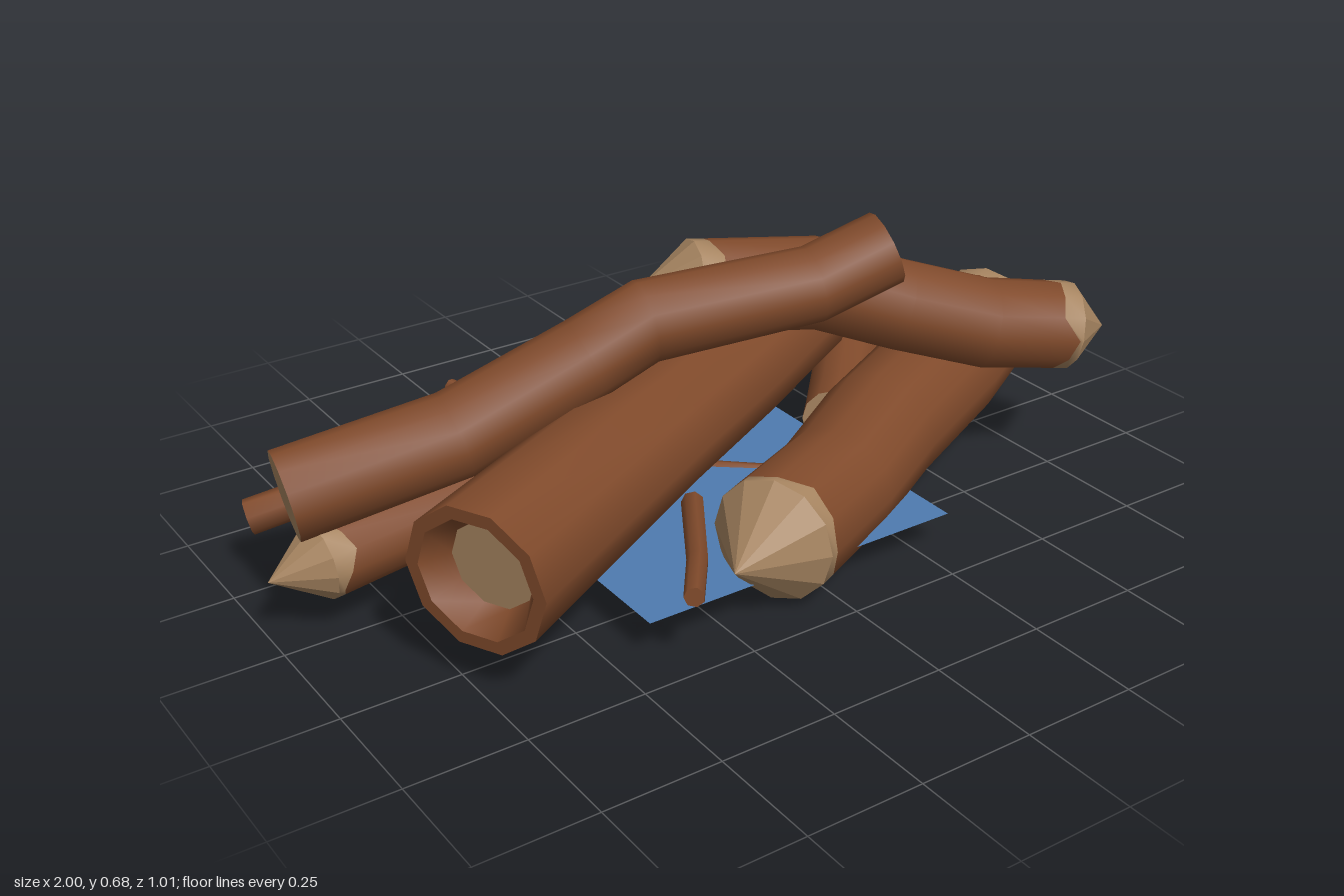
import * as THREE from 'three';

const bark = new THREE.MeshStandardMaterial({ color: 0x804a2b });
bark.name = 'bark';
const wood = new THREE.MeshStandardMaterial({ color: 0xa68460 });
wood.name = 'cutWood';
const cloth = new THREE.MeshStandardMaterial({ color: 0x4f7bb0, side: THREE.DoubleSide });
cloth.name = 'blueSheet';

let seed = 7;
const rand = () => (seed = (seed * 16807) % 2147483647) / 2147483647;
const UP = new THREE.Vector3(0, 1, 0);

// Cross-section frame at point i of a bent path
function frameAt(points, i) {
  const t = points[Math.min(i + 1, points.length - 1)].clone().sub(points[Math.max(i - 1, 0)]).normalize();
  const side = UP.clone().cross(t).normalize();
  return { c: points[i], t, side, n: t.clone().cross(side) };
}

// Ring of points; shift(k) slides each point along the axis
function ring(f, r, sides, shift = () => 0) {
  return Array.from({ length: sides }, (_, k) => {
    const a = (k / sides) * Math.PI * 2;
    return f.c.clone()
      .addScaledVector(f.side, Math.cos(a) * r)
      .addScaledVector(f.n, Math.sin(a) * r)
      .addScaledVector(f.t, shift(k));
  });
}

// Skin a row of rings, smooth or faceted
function skin(name, rings, material, flat = false) {
  const s = rings[0].length;
  const index = [];
  for (let i = 0; i < rings.length - 1; i++) {
    for (let k = 0; k < s; k++) {
      const a = i * s + k, b = i * s + ((k + 1) % s);
      index.push(a, b, b + s, a, b + s, a + s);
    }
  }
  let geo = new THREE.BufferGeometry().setFromPoints(rings.flat());
  geo.setIndex(index);
  if (flat) geo = geo.toNonIndexed();
  geo.computeVertexNormals();
  const mesh = new THREE.Mesh(geo, material);
  mesh.name = name;
  return mesh;
}

// A log along a path. Each end is a carved point, a recessed cut or a flat cut.
function makeLog(name, path, radii, { start = {}, end = {}, sides = 12 } = {}) {
  const g = new THREE.Group();
  g.name = name;
  const pts = path.map((p) => new THREE.Vector3(...p));
  const last = pts.length - 1;
  const rings = pts.map((_, i) => ring(frameAt(pts, i), radii[i], sides));

  [[0, -1, start], [last, 1, end]].forEach(([i, s, cut]) => {
    const f = frameAt(pts, i), r = radii[i], base = rings[i];
    const put = (part, list, mat, flat) => g.add(skin(part, s > 0 ? list : list.reverse(), mat, flat));
    const at = (rad, off) => ring(f, rad, sides, () => s * off);
    if (cut.point) {
      // Ragged bark edge, then the carved tip
      const jag = Array.from({ length: sides }, () => -0.005 - 0.05 * rand());
      rings[i] = ring(f, r, sides, (k) => s * jag[k]);
      put('raggedEdge', [rings[i], base], wood);
      put('carvedTip', [base, at(0, cut.point)], wood, true);
    } else if (cut.rim) {
      // Bark rim narrowing to a recessed cut face
      put('barkRim', [base, at(r * cut.rim, 0)], bark, true);
      put('innerBark', [at(r * cut.rim, 0), at(r * cut.core, -cut.depth)], bark);
      put('cutFace', [at(r * cut.core, -cut.depth), at(0, -cut.depth)], wood, true);
    } else {
      put('cutFace', [base, at(0, 0)], cut.mat || wood, true);
    }
  });
  g.add(skin('barkSide', rings, bark));
  return g;
}

export function createModel() {
  const model = new THREE.Group();
  model.name = 'logPile';

  // Sheet lying among the logs
  const sheet = new THREE.Mesh(new THREE.PlaneGeometry(0.74, 0.73), cloth);
  sheet.name = 'groundSheet';
  sheet.rotation.x = -Math.PI / 2;
  sheet.position.set(-0.06, 0.08, 0.045);
  model.add(sheet);

  // Large logs
  model.add(makeLog('frontLog',
    [[-0.11, 0.135, 0.365], [0.14, 0.13, 0.245], [0.33, 0.162, 0.15], [0.65, 0.162, -0.015], [0.89, 0.185, -0.135]],
    [0.133, 0.131, 0.135, 0.138, 0.13], { start: { point: 0.155 }, end: { point: 0.125 } }));
  model.add(makeLog('leaningLog',
    [[-0.02, 0.51, -0.06], [0.25, 0.48, 0.015], [0.42, 0.415, 0.09], [0.6, 0.355, 0.17], [0.785, 0.328, 0.237]],
    [0.1, 0.101, 0.1, 0.1, 0.098], { start: { point: 0.11 }, end: { point: 0.09 } }));
  model.add(makeLog('topLog',
    [[-0.935, 0.288, -0.085], [-0.6, 0.35, -0.02], [-0.33, 0.465, 0.035], [-0.21, 0.525, 0.065],
      [0.14, 0.55, 0.15], [0.295, 0.61, 0.195]],
    [0.093, 0.09, 0.085, 0.085, 0.08, 0.079],
    { end: { rim: 0.82, core: 0.8, depth: 0.004 } }));
  const hollow = { rim: 0.82, core: 0.6, depth: 0.06 };
  model.add(makeLog('hollowLog',
    [[-0.75, 0.242, 0.325], [-0.2, 0.268, 0.05], [0.1, 0.275, -0.1], [0.39, 0.32, -0.245]],
    [0.155, 0.142, 0.138, 0.15],
    { start: hollow, end: hollow, sides: 10 }));
  model.add(makeLog('lowerLeftLog',
    [[-0.89, 0.145, -0.055], [-0.55, 0.17, -0.075], [-0.25, 0.195, -0.09]],
    [0.08, 0.075, 0.058], { start: { point: 0.11 }, end: { point: 0.07 } }));
  model.add(makeLog('backRightLog',
    [[0.735, 0.18, -0.43], [0.56, 0.125, -0.25], [0.42, 0.1, -0.1], [0.34, 0.11, -0.02]],
    [0.076, 0.077, 0.076, 0.07]));

  // Thin branches and twigs
  const twigs = [
    ['backBranch', [[-0.93, 0.135, -0.31], [-0.56, 0.235, -0.185], [-0.33, 0.32, -0.135], [-0.13, 0.39, -0.1]], [0.039, 0.037, 0.033, 0.03]],
    ['stub', [[-0.03, 0.13, -0.24], [-0.08, 0.185, -0.15], [-0.13, 0.24, -0.07]], [0.045, 0.037, 0.03]],
    ['longTwig', [[-0.37, 0.2, -0.5], [-0.28, 0.17, -0.31], [-0.17, 0.15, -0.13]], [0.017, 0.021, 0.026]],
    ['forkedTwig', [[-0.49, 0.112, -0.37], [-0.38, 0.122, -0.27], [-0.25, 0.128, -0.17], [-0.13, 0.14, -0.1]], [0.016, 0.02, 0.025, 0.027]],
    ['forkTip', [[-0.54, 0.105, -0.395], [-0.49, 0.112, -0.375], [-0.46, 0.118, -0.34]], [0.008, 0.014, 0.015]],
    ['sideTwig', [[-0.34, 0.165, -0.365], [-0.42, 0.165, -0.37], [-0.49, 0.12, -0.365]], [0.012, 0.013, 0.011]],
    ['frontTwig', [[-0.38, 0.16, 0.487], [-0.29, 0.15, 0.365], [-0.15, 0.13, 0.14]], [0.021, 0.022, 0.024]],
    ['rightTwig', [[0.16, 0.14, -0.37], [0.15, 0.12, -0.29], [0.06, 0.1, -0.17], [-0.06, 0.11, -0.1]], [0.015, 0.016, 0.02, 0.022]],
    ['lowTwig', [[-0.08, 0.075, -0.15], [0.04, 0.075, -0.04], [0.16, 0.075, 0.06]], [0.014, 0.013, 0.01]],
  ];
  for (const [name, path, radii] of twigs) {
    const plain = { mat: bark };
    model.add(makeLog(name, path, radii, { start: plain, end: plain, sides: 7 }));
  }
  return model;
}
